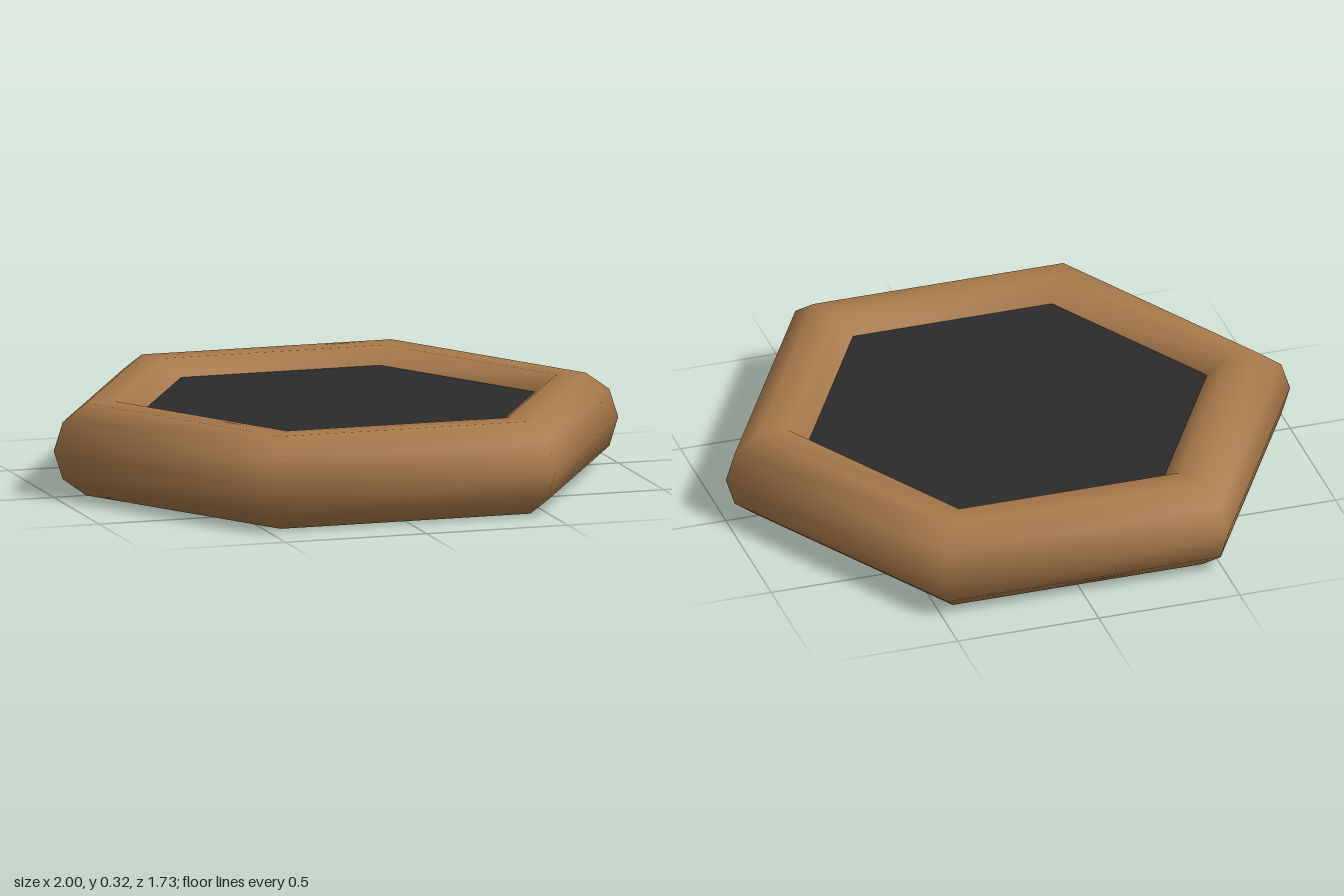
import * as THREE from 'three';

export function createModel() {
  const group = new THREE.Group();
  const wood = new THREE.MeshStandardMaterial({ color: 0xa8794a });
  wood.name = 'wood brown';
  const dark = new THREE.MeshStandardMaterial({ color: 0x2b2b2b });
  dark.name = 'charcoal';

  const ringRadius = 5 / 6, tubeRadius = 1 / 6;
  const midY = tubeRadius * Math.sin(THREE.MathUtils.degToRad(72)); // half height of the ten-sided tube

  // Six-cornered rounded frame, lying flat with corners on the x axis
  const frame = new THREE.Mesh(new THREE.TorusGeometry(ringRadius, tubeRadius, 10, 6), wood);
  frame.name = 'frame';
  frame.rotation.x = -Math.PI / 2;
  frame.position.y = midY;
  group.add(frame);

  // Hexagonal slab filling the opening, from mid-height to just below the rim
  const thickness = 0.103;
  const panel = new THREE.Mesh(
    new THREE.CylinderGeometry(0.706, 0.706, thickness, 6, 1, false, Math.PI / 2), dark);
  panel.name = 'panel';
  panel.position.y = midY + thickness / 2;
  group.add(panel);

  return group;
}
